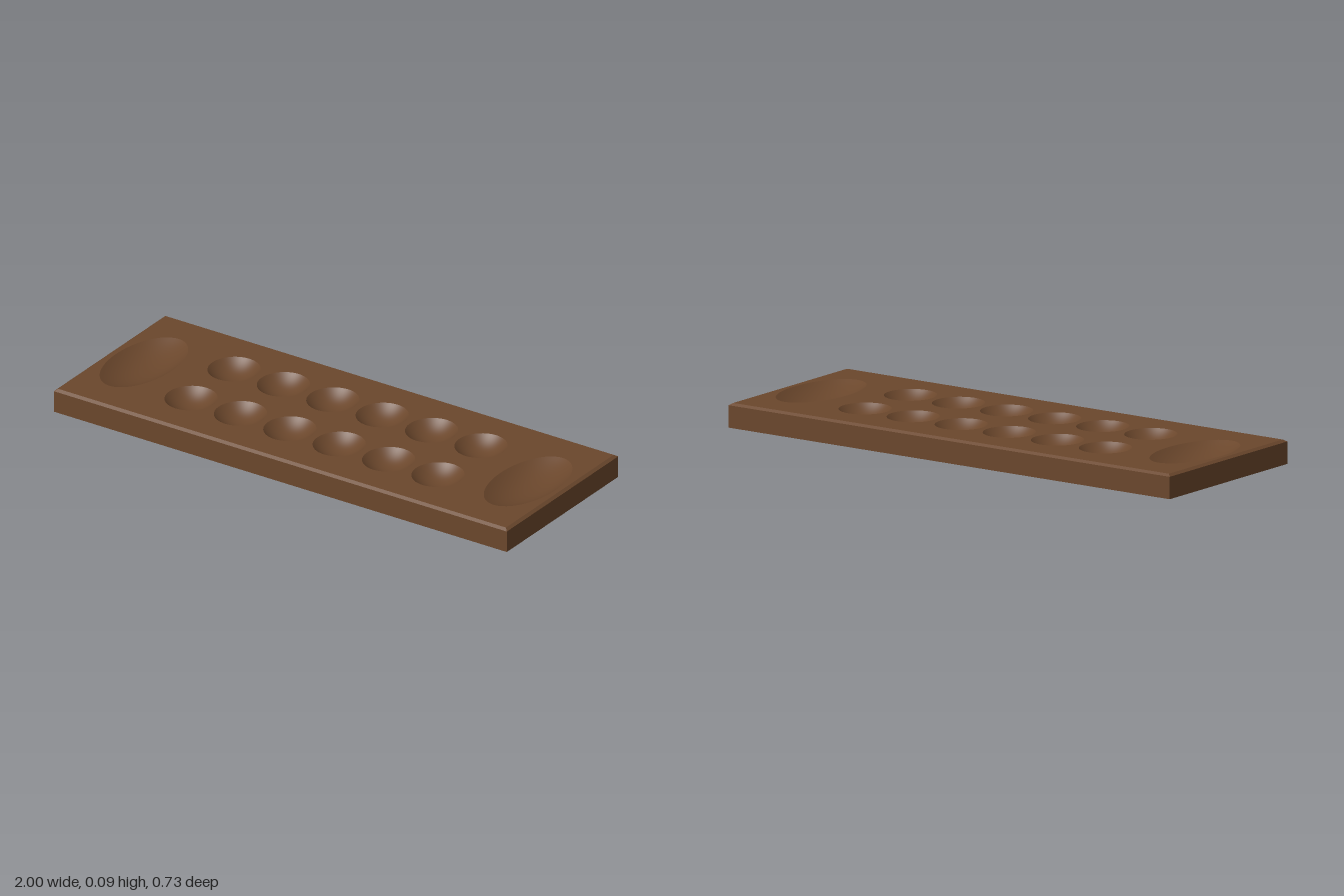
import * as THREE from 'three';

const HALF_X = 1, HALF_Z = 0.363, TOP = 0.092, BEVEL_Y = 0.084, BEVEL = 0.012;

// Board sides, bevel and underside from rectangular rings
function shellGeometry() {
  const rings = [[0, 0], [BEVEL_Y, 0], [TOP, BEVEL]].map(([y, inset]) => {
    const x = HALF_X - inset, z = HALF_Z - inset;
    return [[-x, y, z], [x, y, z], [x, y, -z], [-x, y, -z]];
  });
  const pos = [];
  const quad = (a, b, c, d) => pos.push(...a, ...b, ...c, ...a, ...c, ...d);
  for (let r = 0; r < 2; r++) {
    for (let i = 0; i < 4; i++) {
      const j = (i + 1) % 4;
      quad(rings[r][i], rings[r][j], rings[r + 1][j], rings[r + 1][i]);
    }
  }
  const [a, b, c, d] = rings[0];
  quad(d, c, b, a);
  const geo = new THREE.BufferGeometry();
  geo.setAttribute('position', new THREE.Float32BufferAttribute(pos, 3));
  geo.computeVertexNormals();
  return geo;
}

// Unit bowl, seen from inside: rim at y = 0, lowest point at y = -1
function bowlGeometry() {
  const profile = [];
  for (let i = 0; i <= 14; i++) {
    const r = 1 - i / 14;
    profile.push(new THREE.Vector2(r, -(1 - Math.pow(r, 2.2))));
  }
  return new THREE.LatheGeometry(profile, 48);
}

export function createModel() {
  const group = new THREE.Group();
  group.name = 'pitBoard';
  const wood = new THREE.MeshStandardMaterial({ color: 0x6b472c });
  wood.name = 'brown wood';

  const add = (name, geo) => {
    const mesh = new THREE.Mesh(geo, wood);
    mesh.name = name;
    group.add(mesh);
    return mesh;
  };

  // Hollows: two rows of six round pits and an oval store at each end
  const hollows = [];
  for (const z of [-0.14, 0.14]) {
    for (let i = 0; i < 6; i++) {
      hollows.push({ name: 'pit', x: (i - 2.5) * 0.218, z, rx: 0.096, rz: 0.1, depth: 0.045 });
    }
  }
  for (const side of [-1, 1]) {
    hollows.push({ name: 'store', x: side * 0.848, z: 0, rx: 0.122, rz: 0.226, depth: 0.045 });
  }

  add('boardBody', shellGeometry());

  // Top face pierced by the hollows
  const x = HALF_X - BEVEL, z = HALF_Z - BEVEL;
  const face = new THREE.Shape([
    new THREE.Vector2(-x, -z), new THREE.Vector2(x, -z),
    new THREE.Vector2(x, z), new THREE.Vector2(-x, z),
  ]);
  for (const h of hollows) {
    const hole = new THREE.Path();
    hole.absellipse(h.x, -h.z, h.rx, h.rz, 0, Math.PI * 2, true);
    face.holes.push(hole);
  }
  const top = add('boardTop', new THREE.ShapeGeometry(face, 24).rotateX(-Math.PI / 2));
  top.position.y = TOP;

  // Carved bowls
  const bowl = bowlGeometry();
  for (const h of hollows) {
    const mesh = add(h.name, bowl);
    mesh.position.set(h.x, TOP, h.z);
    mesh.scale.set(h.rx, h.depth, h.rz);
  }
  return group;
}
